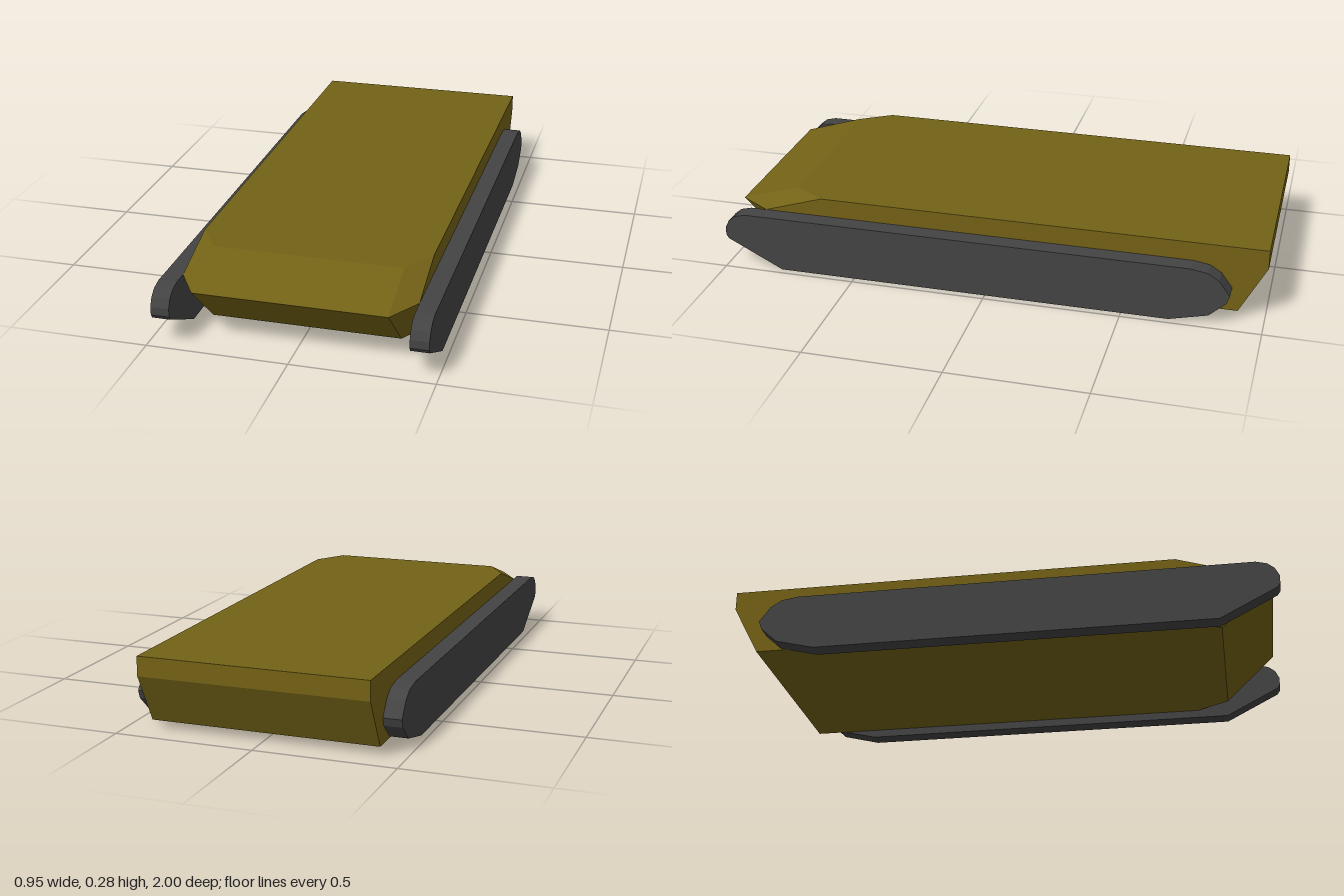
import * as THREE from 'three';
import { ConvexGeometry } from 'three/addons/geometries/ConvexGeometry.js';

const hullMaterial = new THREE.MeshStandardMaterial({ color: 0x736216, flatShading: true });
const trackMaterial = new THREE.MeshStandardMaterial({ color: 0x434343, flatShading: true });

// Hull: three horizontal levels, each with clipped front corners
function createHull() {
  const levels = [
    { y: 0.03, front: 0.79, back: -0.905 },
    { y: 0.21, front: 0.98, back: -1 },
    { y: 0.28, front: 0.76, back: -1 },
  ];
  const points = [];
  for (const { y, front, back } of levels) {
    for (const side of [-1, 1]) {
      points.push(
        new THREE.Vector3(side * 0.41, y, back),
        new THREE.Vector3(side * 0.41, y, front - 0.12),
        new THREE.Vector3(side * 0.335, y, front),
      );
    }
  }
  const hull = new THREE.Mesh(new ConvexGeometry(points), hullMaterial);
  hull.name = 'hull';
  return hull;
}

// Track: side outline as (z, y), extruded across its width
function createTrackGeometry(width) {
  const outline = [
    [0.785, 0], [0.99, 0.105], [1, 0.12], [1, 0.15], [0.985, 0.18], [0.96, 0.2], [0.92, 0.21],
    [-0.74, 0.21], [-0.8, 0.2], [-0.84, 0.175], [-0.88, 0.12], [-0.87, 0.09],
    [-0.81, 0.035], [-0.67, 0],
  ].map(([z, y]) => new THREE.Vector2(z, y));
  const geometry = new THREE.ExtrudeGeometry(new THREE.Shape(outline), {
    depth: width, bevelEnabled: false,
  });
  geometry.translate(0, 0, -width / 2);
  geometry.rotateY(-Math.PI / 2);
  return geometry;
}

export function createModel() {
  const model = new THREE.Group();
  model.name = 'trackedHull';
  model.add(createHull());

  // One track on each side of the hull
  const trackGeometry = createTrackGeometry(0.065);
  for (const [name, side] of [['leftTrack', 1], ['rightTrack', -1]]) {
    const track = new THREE.Mesh(trackGeometry, trackMaterial);
    track.name = name;
    track.position.x = side * 0.4425;
    model.add(track);
  }
  return model;
}
